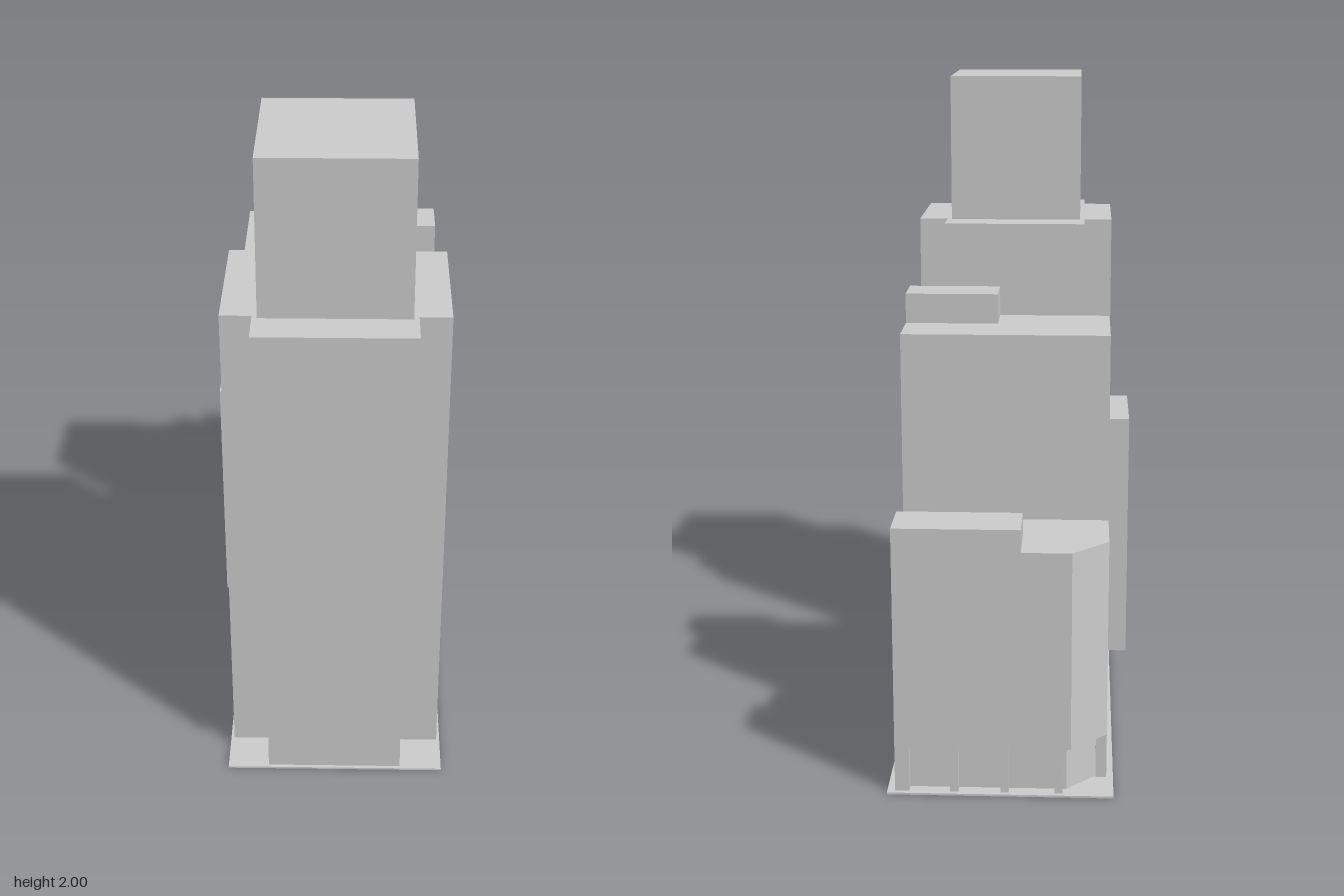
import * as THREE from 'three';

const material = new THREE.MeshStandardMaterial({ color: 0xcccccc, flatShading: true });

// Box given by its limits on each axis
function block(parent, name, [x0, x1], [y0, y1], [z0, z1]) {
  const geometry = new THREE.BoxGeometry(x1 - x0, y1 - y0, z1 - z0);
  geometry.translate((x0 + x1) / 2, (y0 + y1) / 2, (z0 + z1) / 2);
  const mesh = new THREE.Mesh(geometry, material);
  mesh.name = name;
  parent.add(mesh);
}

// Upright prism over a floor plan of [x, z] points
function prism(parent, name, plan, y0, y1) {
  const shape = new THREE.Shape(plan.map(([x, z]) => new THREE.Vector2(x, z)));
  const geometry = new THREE.ExtrudeGeometry(shape, { depth: y1 - y0, bevelEnabled: false });
  geometry.rotateX(Math.PI / 2).translate(0, y1, 0);
  const mesh = new THREE.Mesh(geometry, material);
  mesh.name = name;
  parent.add(mesh);
}

// Cross-shaped floor plan: long arm in z, wide arm in x
function crossPlan([ax0, ax1], [az0, az1], [bx0, bx1], [bz0, bz1]) {
  return [
    [ax0, az0], [ax1, az0], [ax1, bz0], [bx1, bz0], [bx1, bz1], [ax1, bz1],
    [ax1, az1], [ax0, az1], [ax0, bz1], [bx0, bz1], [bx0, bz0], [ax0, bz0],
  ];
}

function building(city, name) {
  const group = new THREE.Group();
  group.name = name;
  city.add(group);
  return group;
}

export function createModel() {
  const city = new THREE.Group();
  city.name = 'cityBlock';
  const G = 0.006; // top of the ground slab

  block(city, 'groundSlab', [-0.31, 0.35], [0, G], [-0.83, 0.83]);

  // Main tower: cross plan, narrower front and back arms at street level
  const tower = building(city, 'mainTower');
  const wideX = [-0.3, 0.34], wideZ = [0.295, 0.7], armZ = [0.177, 0.82];
  prism(tower, 'towerBase', crossPlan([-0.185, 0.222], armZ, wideX, wideZ), G, 0.307);
  prism(tower, 'towerShaft', crossPlan([-0.21, 0.248], armZ, wideX, wideZ), 0.307, 1.53);
  block(tower, 'towerCrown', [-0.195, 0.233], [1.53, 2], [0.285, 0.713]);

  // Mid-rise whose upper floors overhang the street
  const overhang = building(city, 'overhangingBuilding');
  block(overhang, 'groundFloor', [-0.29, 0.005], [G, 0.178], [-0.152, 0.153]);
  block(overhang, 'upperFloors', [-0.357, 0.005], [0.178, 0.96], [-0.152, 0.153]);
  block(overhang, 'roofBlock', [-0.187, 0.005], [0.96, 1.04], [-0.087, 0.153]);

  // Two small buildings side by side
  const smallX = [0.035, 0.335];
  const smallFront = building(city, 'smallFrontBuilding');
  block(smallFront, 'body', smallX, [G, 0.543], [0.012, 0.156]);
  block(smallFront, 'roofHut', [0.245, 0.335], [0.543, 0.605], [0.073, 0.156]);
  const smallBack = building(city, 'smallBackBuilding');
  block(smallBack, 'body', smallX, [G, 0.457], [-0.157, -0.012]);
  block(smallBack, 'roofHut', [0.035, 0.135], [0.457, 0.52], [-0.157, -0.077]);

  // Slab high-rise with notched street corners
  const slab = building(city, 'slabBuilding');
  block(slab, 'groundFloor', [-0.29, 0.22], [G, 0.095], [-0.483, -0.182]);
  block(slab, 'entrance', [0.22, 0.327], [G, 0.095], [-0.457, -0.204]);
  block(slab, 'upperFloors', [-0.29, 0.327], [0.095, 1.297], [-0.483, -0.182]);
  block(slab, 'roofBlock', [0.048, 0.327], [1.297, 1.387], [-0.317, -0.182]);

  // Corner building: one cut corner, recessed arcade at street level
  const corner = building(city, 'cornerBuilding');
  const arcadeTop = 0.145;
  prism(corner, 'upperFloors', [
    [0.327, -0.515], [-0.29, -0.515], [-0.29, -0.71], [-0.185, -0.817], [0.327, -0.817],
  ], arcadeTop, 0.743);
  prism(corner, 'recessedGroundFloor', [
    [0.327, -0.515], [-0.26, -0.515], [-0.26, -0.698], [-0.173, -0.787],
    [0.285, -0.787], [0.285, -0.817], [0.327, -0.817],
  ], G, arcadeTop);
  block(corner, 'roofBlock', [-0.04, 0.327], [0.743, 0.81], [-0.817, -0.66]);
  for (const x of [0.154, 0.007, -0.15]) {
    block(corner, 'backPillar', [x - 0.012, x + 0.012], [G, arcadeTop], [-0.817, -0.785]);
  }
  for (const z of [-0.697, -0.59, -0.527]) {
    block(corner, 'sidePillar', [-0.29, -0.258], [G, arcadeTop], [z - 0.012, z + 0.012]);
  }

  return city;
}
